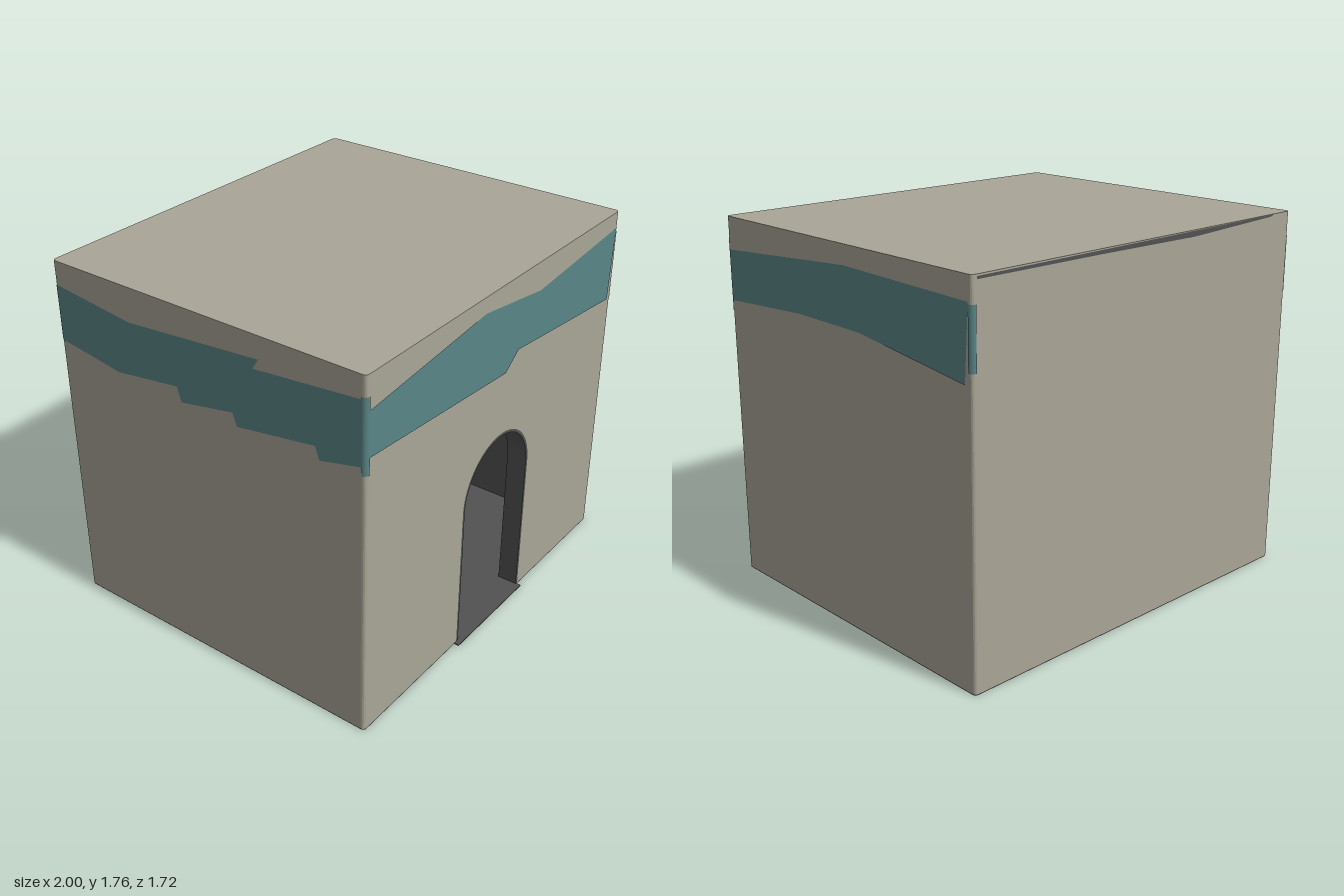
import * as THREE from 'three';

const HALF = 0.995, FRONT = 0.835, BACK = -0.86, TOP = 1.765, WALL = 0.1, R = 0.02, FLOOR = 0.004;
const EAVE = TOP - 0.1;

export function createModel() {
  const model = new THREE.Group();
  const plaster = new THREE.MeshStandardMaterial({ color: 0xa9a597 });
  const dark = new THREE.MeshStandardMaterial({ color: 0x525252 });
  const teal = new THREE.MeshStandardMaterial({ color: 0x5a8586 });

  const add = (name, geometry, material, parent = model) => {
    const mesh = new THREE.Mesh(geometry, material);
    mesh.name = name;
    parent.add(mesh);
    return mesh;
  };
  const block = (name, x0, x1, y0, y1, z0, z1, material) =>
    add(name, new THREE.BoxGeometry(x1 - x0, y1 - y0, z1 - z0)
      .translate((x0 + x1) / 2, (y0 + y1) / 2, (z0 + z1) / 2), material);
  // Plan outline (x, z) raised between two heights
  const raise = (shape, y0, y1) =>
    new THREE.ExtrudeGeometry(shape, { depth: y1 - y0, bevelEnabled: false, curveSegments: 4 })
      .rotateX(Math.PI / 2).translate(0, y1, 0);

  // Rounded footprint, optionally opened at the front to a U of three walls
  const footprint = (open) => {
    const s = new THREE.Shape();
    const inner = HALF - WALL;
    s.moveTo(-HALF + R, BACK);
    s.lineTo(HALF - R, BACK);
    s.quadraticCurveTo(HALF, BACK, HALF, BACK + R);
    s.lineTo(HALF, FRONT - R);
    s.quadraticCurveTo(HALF, FRONT, HALF - R, FRONT);
    if (open) {
      s.lineTo(inner, FRONT);
      s.lineTo(inner, BACK + WALL);
      s.lineTo(-inner, BACK + WALL);
      s.lineTo(-inner, FRONT);
    }
    s.lineTo(-HALF + R, FRONT);
    s.quadraticCurveTo(-HALF, FRONT, -HALF, FRONT - R);
    s.lineTo(-HALF, BACK + R);
    s.quadraticCurveTo(-HALF, BACK, -HALF + R, BACK);
    return s;
  };
  add('floor', raise(footprint(false), 0, FLOOR), dark);
  add('sideAndBackWalls', raise(footprint(true), FLOOR, EAVE), plaster);
  add('roof', raise(footprint(false), EAVE, TOP), plaster);
  block('threshold', -0.285, 0.28, 0, FLOOR + 0.001, FRONT - 0.05, 0.86, dark);

  // Front wall with arched doorway
  const DOOR_X = 0.01, SPRING = 0.735;
  const arch = (path, r) => {
    path.moveTo(DOOR_X - r, FLOOR);
    path.lineTo(DOOR_X - r, SPRING);
    path.absarc(DOOR_X, SPRING, r, Math.PI, 0, true);
    path.lineTo(DOOR_X + r, FLOOR);
    return path;
  };
  const inner = HALF - WALL;
  const wall = new THREE.Shape();
  wall.moveTo(inner, FLOOR);
  wall.lineTo(inner, EAVE);
  wall.lineTo(-inner, EAVE);
  wall.lineTo(-inner, FLOOR);
  wall.lineTo(DOOR_X - 0.278, FLOOR);
  wall.lineTo(DOOR_X - 0.278, SPRING);
  wall.absarc(DOOR_X, SPRING, 0.278, Math.PI, 0, true);
  wall.lineTo(DOOR_X + 0.278, FLOOR);
  add('frontWall', new THREE.ExtrudeGeometry(wall, { depth: WALL, bevelEnabled: false, curveSegments: 20 })
    .translate(0, 0, FRONT - WALL), plaster);

  // Door lining
  const lining = arch(new THREE.Shape(), 0.278);
  lining.lineTo(DOOR_X + 0.264, FLOOR);
  lining.lineTo(DOOR_X + 0.264, SPRING);
  lining.absarc(DOOR_X, SPRING, 0.264, 0, Math.PI, false);
  lining.lineTo(DOOR_X - 0.264, FLOOR);
  add('doorLining', new THREE.ExtrudeGeometry(lining, { depth: WALL, bevelEnabled: false, curveSegments: 20 })
    .translate(0, 0, FRONT - WALL), dark);

  // Dark interior faces
  const T = 0.006, zIn = BACK + WALL, zOut = FRONT - WALL;
  block('leftInnerWall', inner - T, inner, FLOOR, EAVE, zIn, zOut, dark);
  block('rightInnerWall', -inner, -inner + T, FLOOR, EAVE, zIn, zOut, dark);
  block('backInnerWall', -inner, inner, FLOOR, EAVE, zIn, zIn + T, dark);
  block('ceiling', -inner, inner, EAVE - T, EAVE, zIn, zOut, dark);

  // Painted bands: outlines run along the top, then back along the bottom
  const band = (name, points, angle, distance, material = teal) => {
    const shape = new THREE.Shape(points.map(([u, y]) => new THREE.Vector2(u, y)));
    add(name, new THREE.ShapeGeometry(shape).translate(0, 0, distance + 0.003).rotateY(angle), material);
  };
  band('frontBand', [[-0.975, 1.61], [-0.17, 1.69], [0.28, 1.625], [0.975, 1.685],
    [0.955, 1.32], [0.12, 1.4], [0.02, 1.325], [-0.975, 1.4]], 0, FRONT);
  band('leftBand', [[-0.815, 1.61], [0.06, 1.675], [0.84, 1.66], [0.82, 1.33],
    [0.15, 1.405], [-0.28, 1.405], [-0.815, 1.37]], Math.PI / 2, HALF);
  band('rightBand', [[-0.84, 1.65], [-0.41, 1.6], [0.31, 1.66], [0.28, 1.61], [0.815, 1.66],
    [0.815, 1.36], [0.61, 1.31], [0.59, 1.37], [0.18, 1.305], [0.16, 1.365],
    [-0.13, 1.31], [-0.15, 1.38], [-0.5, 1.33], [-0.84, 1.38]], -Math.PI / 2, HALF);

  // Band wrapping round the corners
  for (const x of [-1, 1]) {
    for (const z of [-1, 1]) {
      const [y0, y1] = z > 0 ? [1.32, 1.67] : [1.38, 1.65];
      const start = z > 0 ? (x > 0 ? 0 : 1.5 * Math.PI) : (x > 0 ? Math.PI / 2 : Math.PI);
      add('cornerBand', new THREE.CylinderGeometry(R + 0.003, R + 0.003, y1 - y0, 4, 1, true, start, Math.PI / 2)
        .translate(x * (HALF - R), (y0 + y1) / 2, z > 0 ? FRONT - R : BACK + R), teal);
    }
  }

  // Thin dark gap under the roof's back edge
  band('roofGap', [[-0.97, 1.757], [0.87, 1.763], [0.85, 1.755], [0.3, 1.735], [-0.3, 1.742], [-0.97, 1.745]],
    Math.PI, -BACK - 0.002, dark);

  return model;
}
